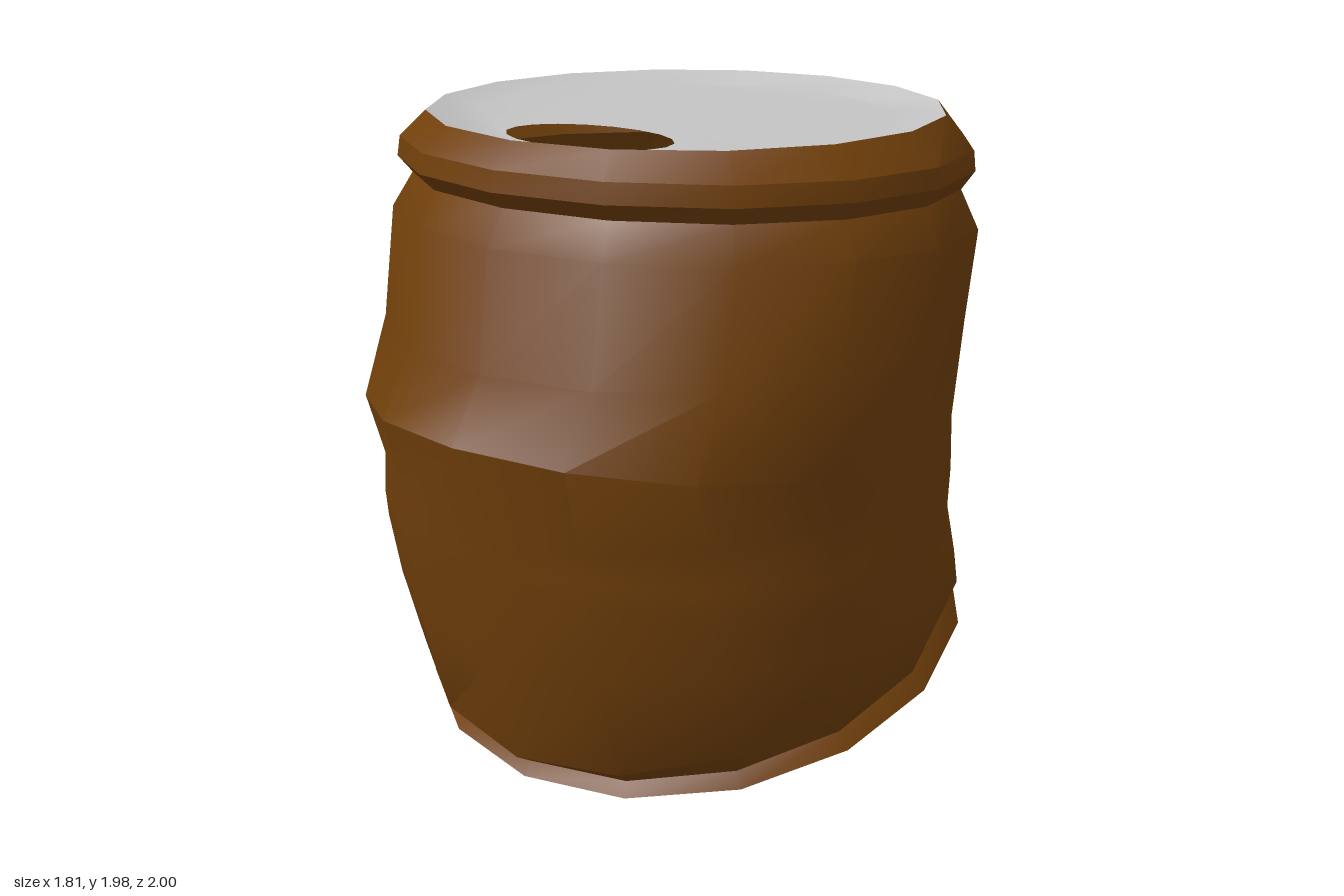
import * as THREE from 'three';
import { toCreasedNormals } from 'three/addons/utils/BufferGeometryUtils.js';

const SIDES = 16;

// Rings from bottom to top: [front z, front y, side y, back z, back y, half width, side z]
const lin = (fz, fy, bz, by, rx) => [fz, fy, (fy + by) / 2, bz, by, rx, (fz + bz) / 2];
const RINGS = [
  lin(0.71, 0.005, -0.97, 0.39, 0.85), // bottom rim
  lin(0.75, 0.02, -1.0, 0.45, 0.895),
  lin(0.72, 0.06, -0.95, 0.52, 0.855),
  [0.78, 0.10, 0.41, -0.955, 0.55, 0.905, -0.08], // lower body
  [0.88, 0.46, 0.56, -0.955, 0.68, 0.905, -0.03],
  [0.93, 0.75, 0.65, -0.93, 0.75, 0.905, 0], // fold at the back
  [0.943, 0.83, 0.74, -0.83, 0.78, 0.905, 0],
  [0.953, 0.89, 0.92, -0.76, 0.84, 0.905, -0.06], // crease
  [1.0, 1.17, 1.07, -0.92, 1.16, 0.905, 0.06], // ridge at the front
  [0.88, 1.35, 1.37, -0.95, 1.37, 0.905, 0],
  [0.83, 1.70, 1.66, -0.98, 1.60, 0.905, -0.07], // shoulder
  lin(0.765, 1.80, -0.92, 1.74, 0.845), // neck
  lin(0.81, 1.85, -0.96, 1.80, 0.885), // top rim
  lin(0.80, 1.91, -0.955, 1.86, 0.877),
  lin(0.725, 1.98, -0.87, 1.975, 0.79),
];

// A point on a ring: an ellipse whose front and back halves may differ
function ringPoint([fz, fy, sy, bz, by, rx, sz], k) {
  const a = (k / SIDES) * Math.PI * 2;
  const c = Math.cos(a);
  return new THREE.Vector3(
    rx * Math.sin(a),
    sy + ((fy - by) / 2) * c + ((fy + by) / 2 - sy) * c * c,
    sz + (c > 0 ? fz - sz : sz - bz) * c
  );
}

function loft(rings) {
  const pos = [], index = [];
  rings.forEach((ring, i) => {
    for (let k = 0; k < SIDES; k++) {
      pos.push(...ringPoint(ring, k).toArray());
      if (i === rings.length - 1) continue;
      const a = i * SIDES + k, b = i * SIDES + ((k + 1) % SIDES);
      index.push(a, b, b + SIDES, a, b + SIDES, a + SIDES);
    }
  });
  const g = new THREE.BufferGeometry();
  g.setAttribute('position', new THREE.Float32BufferAttribute(pos, 3));
  g.setIndex(index);
  return toCreasedNormals(g, 0.6);
}

// End panel: a short slope in from the rim to a flat floor, shaded smoothly.
// depth is the height of the floor below the rim; holePts are (x, -z) points.
function endPanel(ring, depth, holePts) {
  const [fz, fy, sy, bz, by, , sz] = ring;
  const pos = [], index = [], floor = [];
  const addPoint = (x, z, drop) =>
    pos.push(x, by + ((z - bz) / (fz - bz)) * (fy - by) - drop, z);

  const rim = Array.from({ length: SIDES }, (_, k) => ringPoint(ring, k));
  rim.forEach((p) => addPoint(p.x, p.z, 0));
  rim.forEach((p) => {
    const x = p.x * 0.86, z = sz + (p.z - sz) * 0.86;
    floor.push(new THREE.Vector2(x, -z));
    addPoint(x, z, depth);
  });
  holePts.forEach((p) => addPoint(p.x, -p.y, depth));

  for (let k = 0; k < SIDES; k++) {
    const n = (k + 1) % SIDES;
    index.push(k, n, n + SIDES, k, n + SIDES, k + SIDES);
  }
  const holes = holePts.length ? [holePts] : [];
  for (const t of THREE.ShapeUtils.triangulateShape(floor, holes)) {
    index.push(...t.map((i) => i + SIDES));
  }
  // A negative depth is the underside, so it faces down
  if (depth < 0) index.reverse();
  const g = new THREE.BufferGeometry();
  g.setAttribute('position', new THREE.Float32BufferAttribute(pos, 3));
  g.setIndex(index);
  g.computeVertexNormals();
  return g;
}

export function createModel() {
  const group = new THREE.Group();
  group.name = 'crushedCan';
  const brown = new THREE.MeshStandardMaterial({ color: 0x703f0a, side: THREE.DoubleSide });
  brown.name = 'brown paint';
  const metal = new THREE.MeshStandardMaterial({ color: 0xc4c4c4, side: THREE.DoubleSide });
  metal.name = 'pale metal';

  const add = (name, geometry, material) => {
    const mesh = new THREE.Mesh(geometry, material);
    mesh.name = name;
    group.add(mesh);
  };

  add('dentedBody', loft(RINGS), brown);

  // Sunken lid with an oval drinking hole
  const hole = new THREE.EllipseCurve(0, -0.395, 0.28, 0.177, 0, Math.PI * 2, true)
    .getPoints(18).slice(0, -1);
  add('lid', endPanel(RINGS[RINGS.length - 1], 0.035, hole), metal);
  add('base', endPanel(RINGS[0], -0.035, []), metal);
  return group;
}
